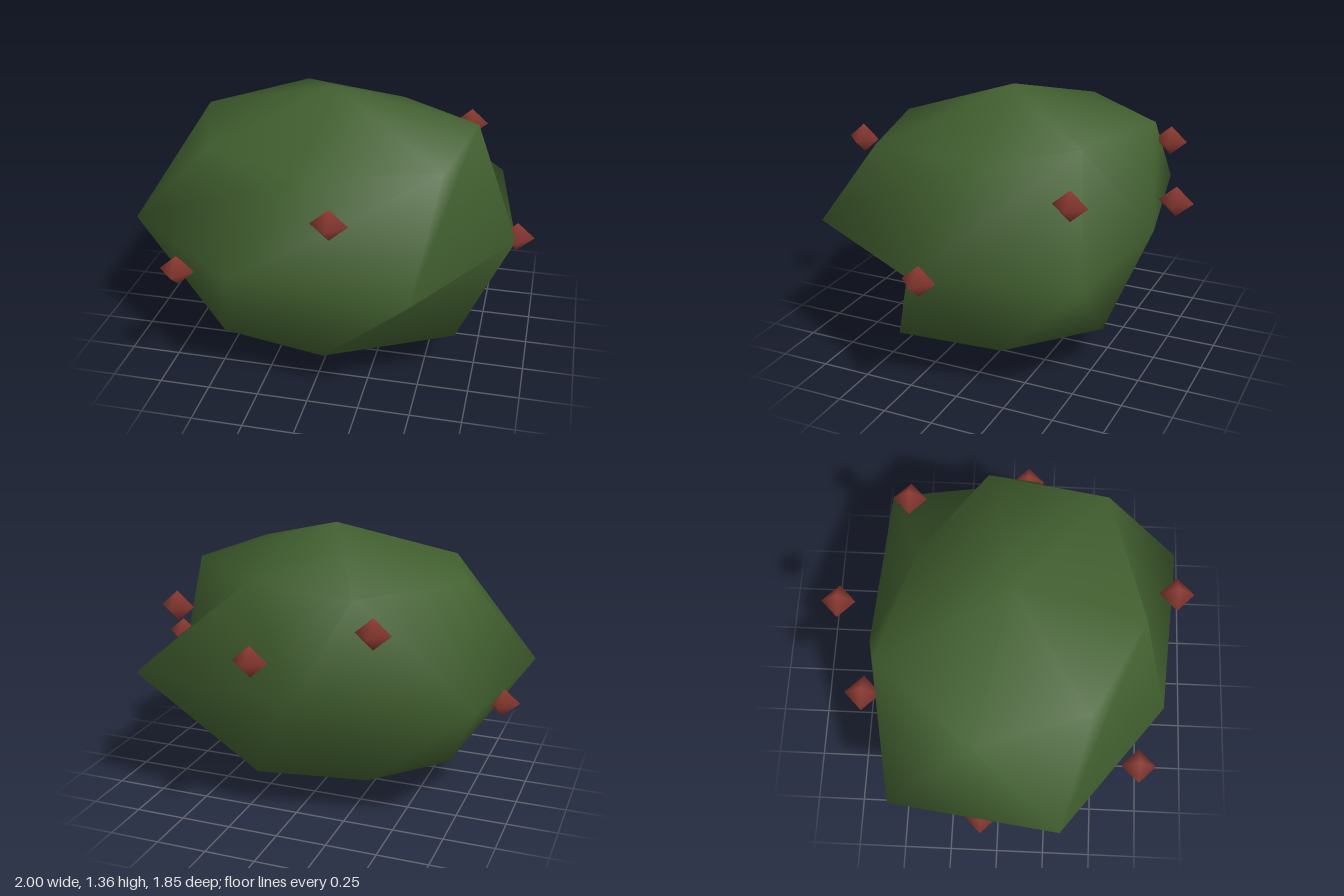
import * as THREE from 'three';

const leafGreen = new THREE.MeshStandardMaterial({ color: 0x426030 });
leafGreen.name = 'leaf green';
const berryRed = new THREE.MeshStandardMaterial({ color: 0x8c3a32 });
berryRed.name = 'berry red';

// Uneven seven-sided rings [x, y, z], from top to bottom, each twisted a little further round
const RINGS = [
  [[0.675, 1.16, -0.11], [0.58, 1.155, 0.49], [-0.06, 1.14, 0.68], [-0.54, 1.155, 0.43],
    [-0.725, 1.16, -0.12], [-0.32, 1.155, -0.605], [0.25, 1.155, -0.43]],
  [[0.91, 0.67, 0.15], [0.5, 0.675, 0.885], [-0.35, 0.675, 0.82], [-1, 0.67, 0.31],
    [-0.89, 0.675, -0.54], [-0.06, 0.675, -0.7], [0.78, 0.69, -0.64]],
  [[0.655, 0.22, 0.36], [0.06, 0.215, 0.665], [-0.48, 0.19, 0.52], [-0.65, 0.18, -0.03],
    [-0.345, 0.2, -0.42], [0.19, 0.21, -0.535], [0.58, 0.2, -0.16]],
];
// Sectors of the upper and lower band that fold inwards
const FOLDED = [[6, 0, 1, 2], [0, 1]];

function bushGeometry() {
  const n = 7;
  const top = n * 3, bottom = top + 1;
  const pos = [...RINGS.flat(2), -0.01, 1.36, 0.04, -0.01, 0, 0.04];

  const index = [];
  for (let k = 0; k < n; k++) {
    const j = (k + 1) % n;
    index.push(top, j, k); // crown
    FOLDED.forEach((folded, band) => { // two side bands
      const r = band * n;
      const [a, a2, b, b2] = [r + k, r + j, r + n + k, r + n + j];
      if (folded.includes(k)) index.push(a, a2, b2, a, b2, b);
      else index.push(a, a2, b, a2, b2, b);
    });
    index.push(bottom, 2 * n + k, 2 * n + j); // underside
  }
  const geo = new THREE.BufferGeometry();
  geo.setAttribute('position', new THREE.Float32BufferAttribute(pos, 3));
  geo.setIndex(index);
  geo.computeVertexNormals();
  return geo;
}

const BERRIES = [
  [0.135, 1.017, 0.84], [-0.64, 0.62, 0.7], [0.912, 0.665, 0.09], [0.603, 1.012, -0.51],
  [0.072, 0.9, -0.84], [-0.44, 1.03, -0.655], [-0.915, 0.565, -0.08],
];

export function createModel() {
  const model = new THREE.Group();
  model.name = 'berryBush';

  // Leafy body
  const bush = new THREE.Mesh(bushGeometry(), leafGreen);
  bush.name = 'foliage';
  model.add(bush);

  // Diamond-shaped berries
  const berryGeo = new THREE.SphereGeometry(0.086, 4, 2);
  berryGeo.scale(1, 0.87, 1);
  BERRIES.forEach((p, i) => {
    const berry = new THREE.Mesh(berryGeo, berryRed);
    berry.name = `berry${i + 1}`;
    berry.position.set(...p);
    model.add(berry);
  });
  return model;
}
